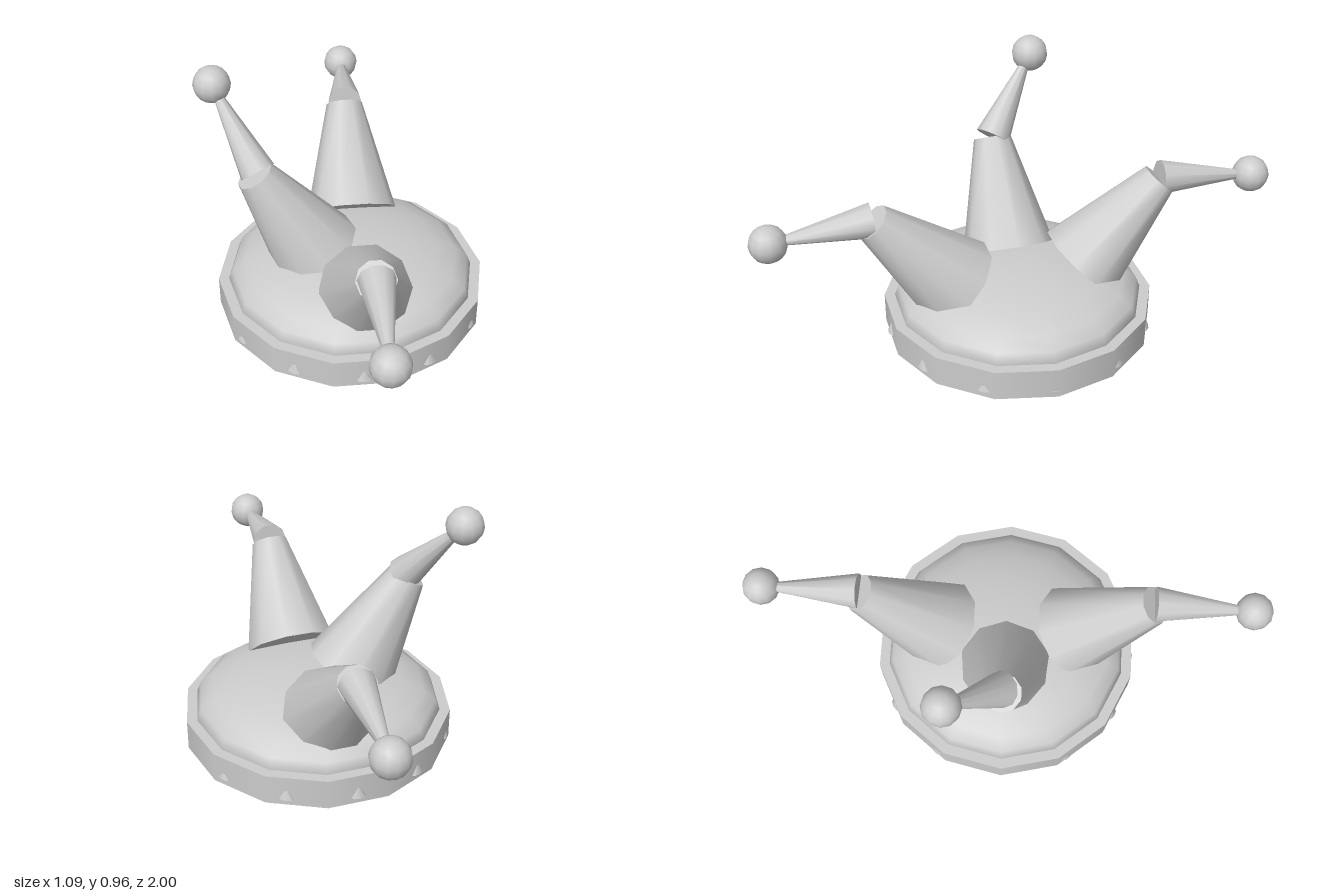
import * as THREE from 'three';

const UP = new THREE.Vector3(0, 1, 0);

export function createModel() {
  const group = new THREE.Group();
  const grey = new THREE.MeshStandardMaterial({ color: 0xcccccc });
  grey.name = 'light grey';

  const add = (name, geometry, parent = group) => {
    const mesh = new THREE.Mesh(geometry, grey);
    mesh.name = name;
    parent.add(mesh);
    return mesh;
  };

  // Tapered, capped tube running from one point to another
  const taper = (name, from, to, r0, r1, parent) => {
    const a = new THREE.Vector3(...from);
    const b = new THREE.Vector3(...to);
    const dir = b.clone().sub(a);
    const mesh = add(name, new THREE.CylinderGeometry(r1, r0, dir.length(), 10, 1, false, Math.PI / 2), parent);
    mesh.quaternion.setFromUnitVectors(UP, dir.normalize());
    mesh.position.copy(a).add(b).multiplyScalar(0.5);
  };

  // Head band
  const cx = 0.02;
  add('headBand', new THREE.CylinderGeometry(0.52, 0.52, 0.12, 14, 1, false, Math.PI / 2))
    .position.set(cx, 0.06, 0);

  // Shallow dome closing the cap
  const dome = add('capDome', new THREE.SphereGeometry(0.48, 14, 6, 0, Math.PI * 2, 0, Math.PI / 2));
  dome.scale.y = 0.16 / 0.48;
  dome.position.set(cx, 0.12, 0);

  // Little studs around the band
  for (let i = 0; i < 12; i++) {
    const angle = (i * Math.PI) / 6;
    const stud = add('bandStud', new THREE.ConeGeometry(0.03, 0.05, 8));
    stud.scale.z = 0.5;
    stud.rotation.y = angle;
    stud.position.set(cx + 0.505 * Math.sin(angle), 0.05, 0.505 * Math.cos(angle));
  }

  // Bent horns: thick lower cone, thin tip and a ball at the end
  const horns = [
    { name: 'frontHorn', base: [0.05, 0.23, 0.25], bend: [0.05, 0.547, 0.555],
      tip: [0.05, 0.555, 0.555], ball: [0.05, 0.522, 0.93] },
    { name: 'backHorn', base: [0.05, 0.23, -0.25], bend: [0.05, 0.547, -0.555],
      tip: [0.053, 0.555, -0.555], ball: [0.07, 0.522, -0.93] },
    { name: 'rightHorn', base: [-0.115, 0.24, 0], bend: [-0.337, 0.615, 0],
      tip: [-0.325, 0.625, 0], ball: [-0.474, 0.894, -0.195] },
  ];
  for (const { name, base, bend, tip, ball } of horns) {
    const horn = new THREE.Group();
    horn.name = name;
    group.add(horn);
    taper('hornLower', base, bend, 0.18, 0.073, horn);
    taper('hornTip', tip, ball, 0.068, 0.01, horn);
    add('hornBall', new THREE.SphereGeometry(0.071, 12, 8), horn).position.set(...ball);
  }

  return group;
}
